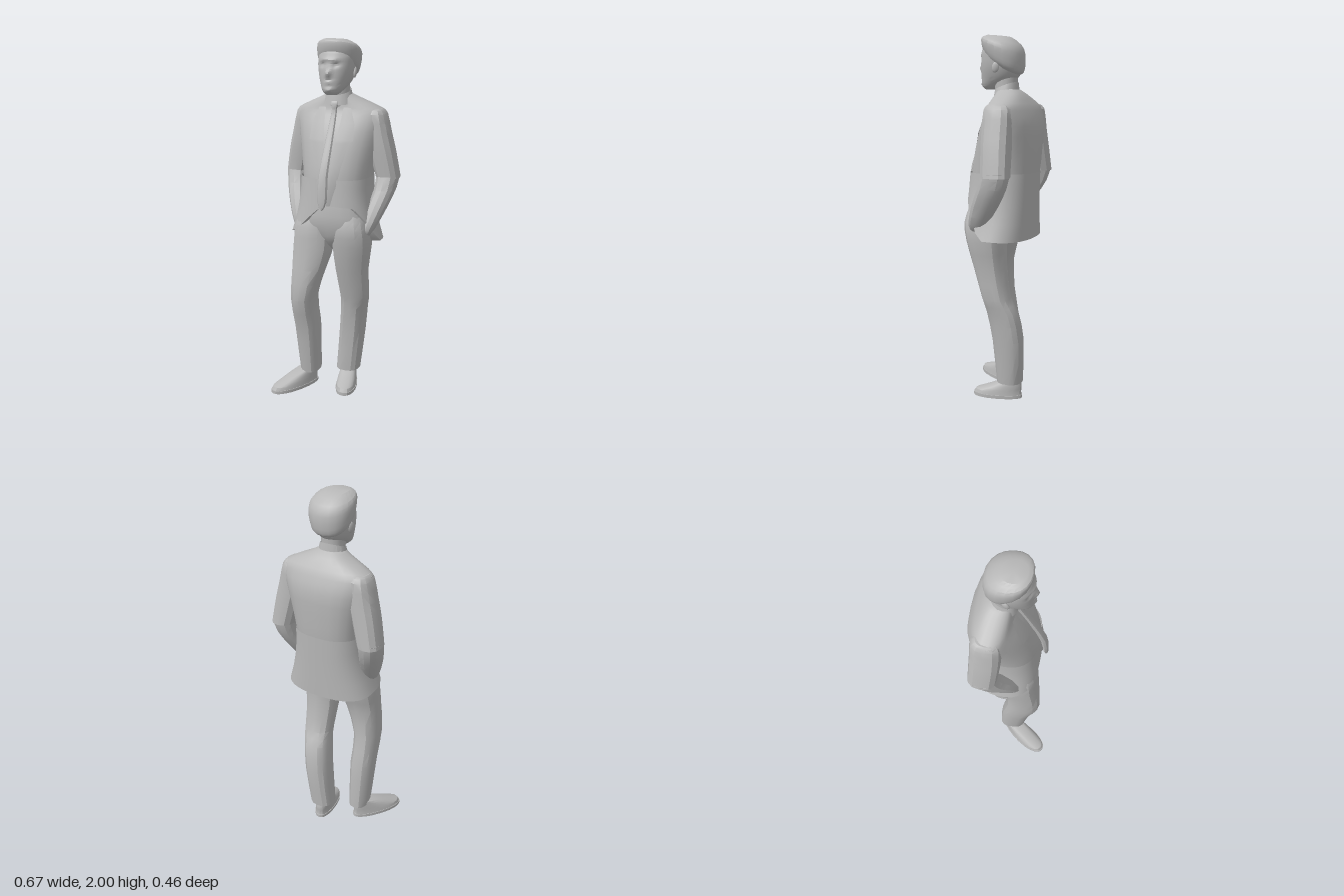
import * as THREE from 'three';
import { toCreasedNormals } from 'three/addons/utils/BufferGeometryUtils.js';

const TAU = Math.PI * 2;
const lerp = THREE.MathUtils.lerp;

// Surface from rows of points (rows go upward, points go towards +x at the front)
function grid(rows, crease = 0.5) {
  const n = rows[0].length, index = [];
  for (let i = 0; i < rows.length - 1; i++) for (let j = 0; j < n - 1; j++) {
    const a = i * n + j, b = a + 1, c = b + n, d = a + n;
    index.push(a, b, c, a, c, d);
  }
  const geo = new THREE.BufferGeometry();
  geo.setAttribute('position', new THREE.Float32BufferAttribute(rows.flat(2), 3));
  geo.setIndex(index);
  return toCreasedNormals(geo, crease);
}

// Catmull-Rom blend of the ring parameters
function refine(rings, sub) {
  const out = [];
  for (let i = 0; i < rings.length - 1; i++) {
    const p0 = rings[Math.max(i - 1, 0)], p1 = rings[i], p2 = rings[i + 1];
    const p3 = rings[Math.min(i + 2, rings.length - 1)];
    for (let k = 0; k < sub; k++) {
      const t = k / sub;
      out.push(p1.map((b, m) => {
        const a = p0[m], c = p2[m], d = p3[m];
        return 0.5 * (2 * b + (c - a) * t + (2 * a - 5 * b + 4 * c - d) * t * t + (3 * b - a - 3 * c + d) * t ** 3);
      }));
    }
  }
  out.push(rings[rings.length - 1]);
  return out;
}

const pw = (v, p) => Math.sign(v) * Math.abs(v) ** p;

// Closed body from rings [y, cx, cz, rx, rz, tilt]; tilt raises y with z,
// p and back set how square the front and back halves are
function loft(rings, { seg = 16, sub = 2, p = 0.9, back = p, cap = true, crease = 0.5, move } = {}) {
  rings = rings.map(r => [...r, 0].slice(0, 6));
  const rows = refine(rings, sub).map(([y, cx, cz, rx, rz, tilt]) =>
    Array.from({ length: seg + 1 }, (_, j) => {
      const a = (j % seg) / seg * TAU, q = Math.cos(a) < 0 ? back : p;
      const z = cz + rz * pw(Math.cos(a), q);
      const v = [cx + rx * pw(Math.sin(a), q), y + tilt * z, z];
      return move ? move(v) : v;
    }));
  if (cap) {
    const centre = ([y, cx, cz, , , tilt]) => Array.from({ length: seg + 1 }, () => [cx, y + tilt * cz, cz]);
    rows.unshift(centre(rings[0]));
    rows.push(centre(rings[rings.length - 1]));
  }
  return grid(rows, crease);
}

export function createModel() {
  const model = new THREE.Group();
  model.name = 'standingMan';
  const grey = new THREE.MeshStandardMaterial({ color: 0xb8b8b8, side: THREE.DoubleSide });
  grey.name = 'grey';
  const add = (name, geo) => {
    const mesh = new THREE.Mesh(geo, grey);
    mesh.name = name;
    model.add(mesh);
    return mesh;
  };

  // Jacket body
  const torso = [
    [1.08, 0, -0.03, 0.18, 0.16], [1.25, 0, -0.042, 0.188, 0.174], [1.4, 0, -0.062, 0.21, 0.163],
    [1.52, 0, -0.083, 0.235, 0.143], [1.6, 0, -0.092, 0.252, 0.108], [1.635, 0, -0.09, 0.228, 0.092],
    [1.685, 0, -0.075, 0.115, 0.072], [1.71, 0, -0.06, 0.065, 0.055]];
  const P = 0.9;
  add('jacketBody', loft(torso, { seg: 24, p: P, back: 0.74 }));
  const frontZ = (x, y) => {
    let i = 0;
    while (i < torso.length - 2 && torso[i + 1][0] < y) i++;
    const a = torso[i], b = torso[i + 1], t = (y - a[0]) / (b[0] - a[0]);
    const s = Math.min(Math.abs(x) / lerp(a[3], b[3], t), 1) ** (1 / P);
    return lerp(a[2], b[2], t) + lerp(a[4], b[4], t) * Math.sqrt(1 - s * s) ** P;
  };

  // Jacket skirt: hem height follows the angle from the front round the right side and back
  const hem = [[0, 1.13], [0.12, 1.11], [0.75, 0.975], [1.45, 0.935], [2.2, 0.92], [3.14, 0.91],
    [4.2, 0.915], [4.75, 0.92], [5.1, 1.03], [5.6, 1.12], [TAU, 1.13]];
  const hemY = a => {
    const i = Math.max(1, hem.findIndex(h => h[0] >= a - 1e-6));
    const [a0, y0] = hem[i - 1], [a1, y1] = hem[i];
    return lerp(y0, y1, (a - a0) / (a1 - a0));
  };
  const skirtRow = (t, inner) => Array.from({ length: 41 }, (_, j) => {
    const a = TAU * (1 - j / 40), y = lerp(hemY(a), 1.27, t);
    const u = (1.27 - y) / 0.36;
    const rx = inner ? 0.19 : lerp(0.193, 0.262, u * u);
    const rz = inner ? 0.11 : lerp(0.176, 0.185, u), cz = inner ? 0.02 : lerp(-0.044, -0.022, u);
    return [-rx * pw(Math.sin(a), 0.76), y, cz + rz * pw(Math.cos(a), 0.76)];
  });
  add('jacketSkirt', grid([skirtRow(0, true), ...[0, 0.25, 0.5, 0.75, 1].map(t => skirtRow(t))]));

  // Lapels and front panel edges laid on the chest, standing off more lower down
  for (const s of [-1, 1]) {
    const rows = [[1.13, 0.006, 0.04, 0.022], [1.24, 0.012, 0.055, 0.018], [1.34, 0.02, 0.075, 0.012],
      [1.46, 0.032, 0.105, 0.009], [1.475, 0.034, 0.125, 0.009], [1.56, 0.045, 0.12, 0.009],
      [1.64, 0.05, 0.09, 0.009]].map(([y, i, o, off]) => {
      const xs = [0, 0.33, 0.67, 1].map(t => [s * lerp(i, o, t), lerp(off, 0.006, t)]);
      if (s < 0) xs.reverse();
      return xs.map(([x, lift]) => [x, y, frontZ(x, y) + lift]);
    });
    add(s > 0 ? 'leftLapel' : 'rightLapel', grid(rows));
  }

  // Shirt collar, tie and knot
  add('collar', loft([[1.655, 0, -0.05, 0.085, 0.07, -0.1], [1.71, 0, -0.05, 0.066, 0.061, -0.35]], { cap: false, sub: 1 }));
  add('tie', loft([[1.11, -0.012, 0.17, 0.004, 0.008], [1.16, -0.012, 0.166, 0.028, 0.013], [1.3, -0.01, 0.148, 0.026, 0.016],
    [1.45, -0.004, 0.09, 0.022, 0.014], [1.6, 0, 0.024, 0.016, 0.012], [1.64, 0, 0.01, 0.014, 0.014]], { seg: 8 }));
  add('tieKnot', loft([[1.625, 0, 0.014, 0.012, 0.012], [1.66, 0, 0.01, 0.023, 0.014], [1.675, 0, 0.004, 0.02, 0.012]], { seg: 8 }));

  // Arms bent with the hands in the pockets; the right one is held further back
  for (const s of [-1, 1]) {
    const side = s > 0 ? 'left' : 'right', shift = s > 0 ? 0 : -0.015;
    const arm = rings => loft(rings.map(([y, x, z, ...r]) => [y, x * s, z + shift, ...r]), { seg: 12, p: 0.85 });
    add(side + 'UpperSleeve', arm([[1.632, 0.2, -0.092, 0.035, 0.05], [1.605, 0.2, -0.093, 0.058, 0.076],
      [1.5, 0.214, -0.095, 0.07, 0.08], [1.4, 0.238, -0.1, 0.07, 0.08], [1.26, 0.269, -0.11, 0.064, 0.077]]));
    add(side + 'Forearm', arm([[0.955, 0.19, 0.035, 0.018, 0.025], [0.995, 0.201, 0.025, 0.038, 0.053],
      [1.1, 0.232, -0.03, 0.052, 0.074], [1.2, 0.26, -0.085, 0.058, 0.078], [1.28, 0.268, -0.11, 0.062, 0.075]]));
  }

  // Trousers
  add('trouserSeat', loft([[0.87, 0.002, 0.02, 0.02, 0.04], [0.92, 0, 0.022, 0.1, 0.085],
    [0.99, 0, 0.022, 0.195, 0.11], [1.07, 0, 0.015, 0.195, 0.125], [1.2, 0, 0, 0.17, 0.12]], { seg: 20, p: 0.8 }));
  add('rightTrouserLeg', loft([[0.09, -0.15, 0.005, 0.054, 0.074], [0.2, -0.152, 0.015, 0.06, 0.08],
    [0.39, -0.155, 0.035, 0.068, 0.088], [0.57, -0.158, 0.075, 0.069, 0.097], [0.75, -0.13, 0.068, 0.095, 0.092],
    [0.87, -0.113, 0.045, 0.112, 0.104], [1.0, -0.107, 0.032, 0.107, 0.107], [1.08, -0.1, 0.02, 0.085, 0.09]], { seg: 14, p: 0.82 }));
  add('leftTrouserLeg', loft([[0.09, 0.048, -0.095, 0.068, 0.07], [0.34, 0.073, -0.095, 0.073, 0.085],
    [0.5, 0.092, -0.07, 0.075, 0.085], [0.58, 0.103, -0.04, 0.082, 0.075], [0.75, 0.1, 0, 0.092, 0.086],
    [0.9, 0.107, 0.02, 0.108, 0.105], [1.0, 0.105, 0.03, 0.105, 0.108], [1.08, 0.1, 0.02, 0.085, 0.095]], { seg: 14, p: 0.82 }));

  // Shoes: heel at the local origin, toe along +z
  const shoe = (name, x, z, turn, length) => {
    const h = length / 2;
    const group = new THREE.Group();
    group.name = name;
    const part = (n, rings) => {
      const mesh = add(n, loft(rings, { seg: 20, p: 0.8, sub: 1,
        move: ([px, py, pz]) => [px * (0.96 + 0.12 * Math.sin(pz / length * 4 - 1)), py, pz] }));
      group.add(mesh);
    };
    part(name + 'Sole', [[0, 0, h, 0.056, h], [0.018, 0, h, 0.057, h]]);
    part(name + 'Upper', [[0.018, 0, h, 0.054, h - 0.004], [0.036, 0, h - 0.004, 0.052, h - 0.01],
      [0.054, 0, h - 0.03, 0.05, h - 0.034], [0.075, 0, h - 0.058, 0.047, h - 0.062], [0.105, 0, 0.058, 0.043, 0.046]]);
    group.position.set(x, 0, z);
    group.rotation.y = turn;
    model.add(group);
  };
  shoe('rightShoe', -0.133, -0.04, -0.56, 0.318);
  shoe('leftShoe', 0.035, -0.165, 0.2, 0.28);

  // Neck and head, with the face shaped by soft bumps [x, y, width, height, depth]
  add('neck', loft([[1.62, 0, -0.06, 0.065, 0.06], [1.7, 0, -0.047, 0.06, 0.058], [1.8, 0, -0.045, 0.062, 0.068]]));
  const bumps = [[-0.004, 1.822, 0.013, 0.018, 0.024], [-0.004, 1.85, 0.01, 0.02, 0.01], [-0.042, 1.865, 0.018, 0.011, -0.014],
    [0.036, 1.865, 0.018, 0.011, -0.014], [-0.003, 1.892, 0.06, 0.01, 0.007], [-0.003, 1.775, 0.022, 0.008, 0.008],
    [-0.003, 1.792, 0.025, 0.006, -0.004], [-0.003, 1.738, 0.02, 0.012, 0.01]];
  add('head', loft([[1.71, -0.003, 0.04, 0.03, 0.032], [1.73, -0.003, 0.028, 0.052, 0.062], [1.77, 0, -0.008, 0.076, 0.1],
    [1.82, 0.003, -0.022, 0.093, 0.114], [1.87, 0.005, -0.025, 0.1, 0.114], [1.92, 0.008, -0.025, 0.098, 0.104],
    [1.945, 0.008, -0.02, 0.08, 0.085]], { seg: 44, sub: 5, p: 0.92, crease: 0.7,
    move: ([x, y, z]) => {
      if (z > 0.01) for (const [bx, by, w, h, d] of bumps)
        z += d * Math.exp(-(((x - bx) / w) ** 2) - ((y - by) / h) ** 2);
      return [x, y, z];
    } }));

  // Swept hair, hugging the nape and raised over the forehead
  add('hair', loft([[1.855, 0.005, -0.04, 0.088, 0.085, 0.55], [1.872, 0.007, -0.039, 0.103, 0.101, 0.54],
    [1.9, 0.009, -0.036, 0.112, 0.113, 0.5], [1.945, 0.011, -0.034, 0.117, 0.116, 0.36],
    [1.972, 0.008, -0.026, 0.103, 0.102, 0.24], [1.992, 0.002, -0.006, 0.06, 0.062, 0.1]], { seg: 20 }));

  // Ears
  for (const s of [-1, 1]) {
    const ear = add(s > 0 ? 'leftEar' : 'rightEar', new THREE.SphereGeometry(1, 10, 8));
    ear.scale.set(0.01, 0.03, 0.02);
    ear.position.set(0.004 + s * 0.095, 1.825, -0.03);
    ear.rotation.set(-0.2, s * 0.3, 0);
  }
  return model;
}
